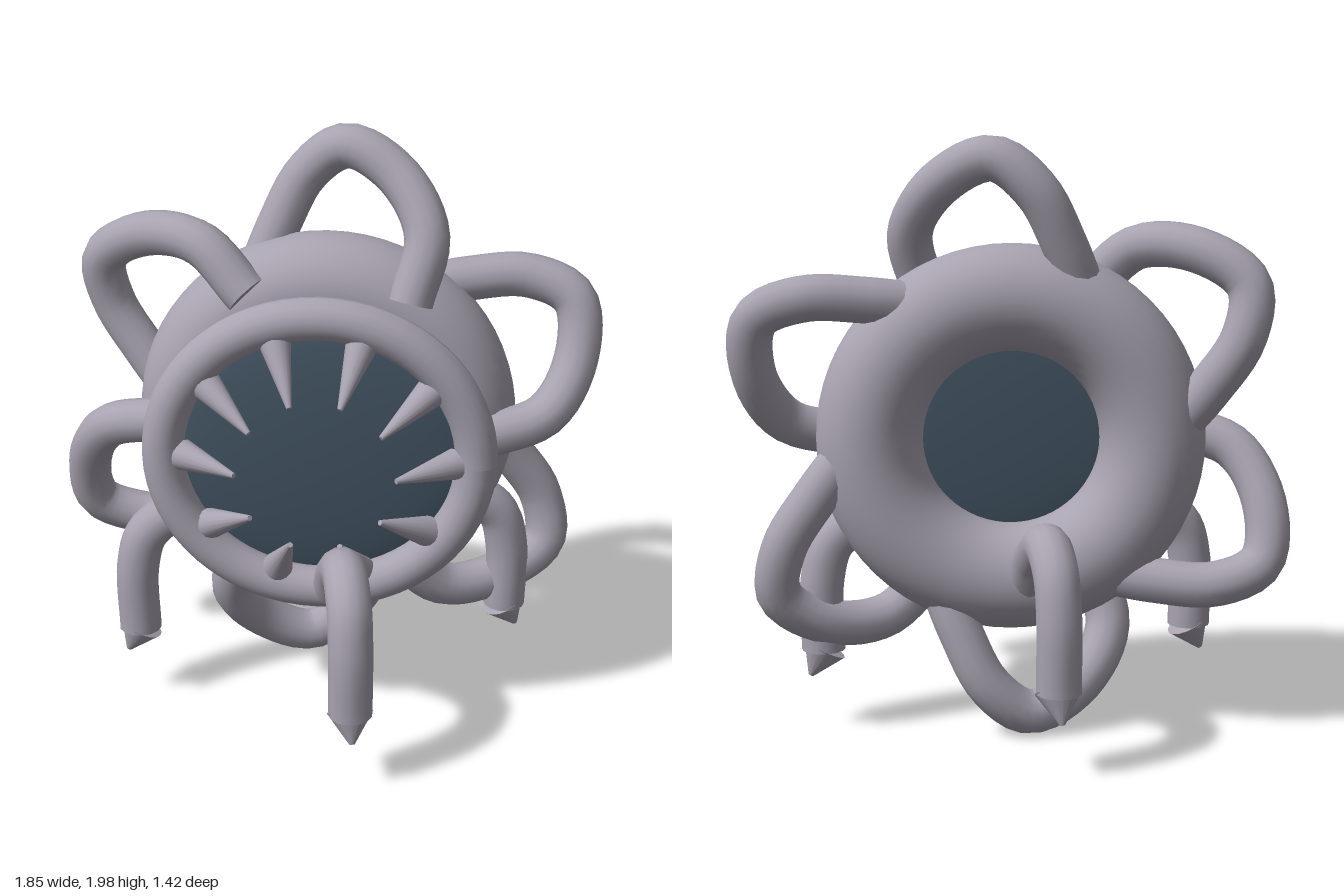
import * as THREE from 'three';
import { mergeGeometries } from 'three/addons/utils/BufferGeometryUtils.js';

const skin = new THREE.MeshStandardMaterial({ color: 0xa8a3b0 });
skin.name = 'mauve grey skin';
const dark = new THREE.MeshStandardMaterial({ color: 0x435564 });
dark.name = 'dark slate';

function mesh(name, geometry, material = skin) {
  const m = new THREE.Mesh(geometry, material);
  m.name = name;
  return m;
}

// Round tube through the points, closed by a disc at each end
function cappedTube(points, radius) {
  const curve = new THREE.CatmullRomCurve3(points.map((p) => new THREE.Vector3(...p)));
  const parts = [new THREE.TubeGeometry(curve, 32, radius, 14)];
  for (const [t, sign] of [[0, -1], [1, 1]]) {
    const cap = new THREE.CircleGeometry(radius, 14);
    const dir = curve.getTangent(t).multiplyScalar(sign);
    cap.applyQuaternion(new THREE.Quaternion().setFromUnitVectors(new THREE.Vector3(0, 0, 1), dir));
    const p = curve.getPoint(t);
    cap.translate(p.x, p.y, p.z);
    parts.push(cap);
  }
  return mergeGeometries(parts);
}

// Blunt spike from a base point to a tip point
function spike(name, base, tip, radius) {
  const a = new THREE.Vector3(...base);
  const axis = new THREE.Vector3(...tip).sub(a);
  const length = axis.length();
  const geometry = new THREE.CylinderGeometry(0.009, radius, length, 16);
  geometry.translate(0, length / 2, 0);
  const m = mesh(name, geometry);
  m.quaternion.setFromUnitVectors(new THREE.Vector3(0, 1, 0), axis.normalize());
  m.position.copy(a);
  return m;
}

export function createModel() {
  const model = new THREE.Group();
  model.name = 'creature';

  // Upper body, centred on the ring axis
  const body = new THREE.Group();
  body.name = 'body';
  body.position.y = 1;
  model.add(body);

  const bodyRing = mesh('bodyRing', new THREE.TorusGeometry(0.467, 0.176, 28, 64));
  bodyRing.position.z = -0.145;
  body.add(bodyRing);

  // Slightly wide mouth ring with a lens-shaped membrane
  const lip = mesh('mouthRing', new THREE.TorusGeometry(0.5, 0.07, 18, 64));
  const pos = lip.geometry.attributes.position;
  for (let i = 0; i < pos.count; i++) {
    const a = Math.atan2(pos.getY(i), pos.getX(i));
    pos.setX(i, pos.getX(i) + 0.014 * Math.cos(a));
    pos.setY(i, pos.getY(i) - 0.016 * Math.sin(a));
  }
  lip.geometry.computeVertexNormals();
  lip.position.z = 0.225;
  body.add(lip);

  const membrane = mesh('mouthMembrane', new THREE.SphereGeometry(1, 48, 24), dark);
  membrane.scale.set(0.5, 0.475, 0.065);
  membrane.position.z = 0.17;
  body.add(membrane);

  // Ten teeth leaning inward and forward
  for (let i = 0; i < 10; i++) {
    const a = (i * Math.PI) / 5;
    const c = Math.cos(a), s = Math.sin(a);
    body.add(spike('tooth', [0.445 * c, 0.425 * s, 0.245], [0.26 * c, 0.255 * s, 0.388], 0.052));
  }

  // Six looping tentacles: along the radius (x), tangent (y) and depth (z)
  const loop = cappedTube([
    [0.48, -0.24, 0.0], [0.696, -0.27, -0.07], [0.855, -0.155, -0.165], [0.92, 0.02, -0.225],
    [0.81, 0.146, -0.25], [0.623, 0.225, -0.225], [0.478, 0.27, -0.19],
  ], 0.075);
  for (let i = 0; i < 6; i++) {
    const m = mesh('loopTentacle', loop);
    m.rotation.z = THREE.MathUtils.degToRad(25 + 60 * i);
    body.add(m);
  }

  // Four arched legs with tilted pointed feet
  const legTube = cappedTube([
    [0.25, 0.53, 0], [0.36, 0.645, 0], [0.5, 0.715, 0],
    [0.605, 0.65, 0], [0.645, 0.52, 0], [0.645, 0.28, 0],
  ], 0.073);
  for (let i = 0; i < 4; i++) {
    const leg = new THREE.Group();
    leg.name = 'leg';
    leg.add(mesh('legTube', legTube));
    leg.add(spike('foot', [0.642, 0.283, 0], [0.69, 0.19, 0], 0.076));
    leg.rotation.y = THREE.MathUtils.degToRad(12 + 90 * i);
    model.add(leg);
  }
  return model;
}
